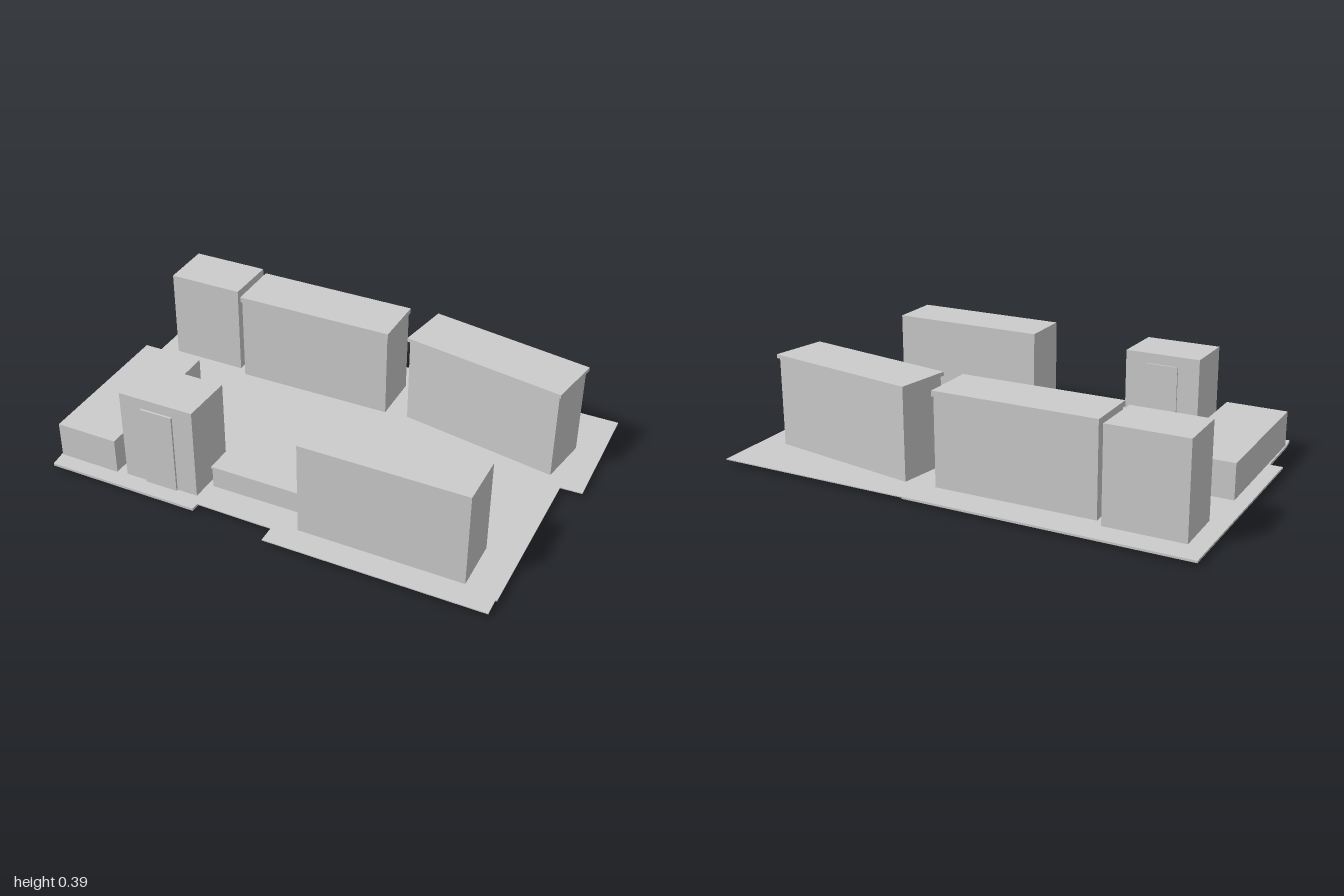
import * as THREE from 'three';

const material = new THREE.MeshStandardMaterial({ color: 0xcccccc, flatShading: true });

// Vertical prism over a ground outline given as [x, z] corners
function prism(name, outline, y0, y1) {
  const shape = new THREE.Shape(outline.map(([x, z]) => new THREE.Vector2(x, -z)));
  const geometry = new THREE.ExtrudeGeometry(shape, { depth: y1 - y0, bevelEnabled: false });
  geometry.rotateX(-Math.PI / 2);
  geometry.translate(0, y0, 0);
  const mesh = new THREE.Mesh(geometry, material);
  mesh.name = name;
  return mesh;
}

// Shrink an outline towards its centre by a fixed distance per corner
function inset(outline, d) {
  const cx = outline.reduce((s, p) => s + p[0], 0) / outline.length;
  const cz = outline.reduce((s, p) => s + p[1], 0) / outline.length;
  return outline.map(([x, z]) => [x - d * Math.sign(x - cx), z - d * Math.sign(z - cz)]);
}

export function createModel() {
  const group = new THREE.Group();
  group.name = 'cityBlock';
  const base = 0.022;

  // Thin site plate with stepped edges
  group.add(prism('sitePlate', [
    [-1, -0.375], [0.83, -0.765], [0.935, -0.295], [0.855, -0.275], [0.99, 0.365],
    [0.985, 0.37], [1, 0.435], [0.195, 0.61], [0.18, 0.545], [-0.11, 0.605],
    [-0.105, 0.635], [-0.69, 0.76], [-0.71, 0.7], [-0.76, 0.485], [-0.81, 0.495],
  ], 0.018, base));

  // Thicker slabs beneath the western half
  group.add(prism('northSlab', [[-1, -0.375], [0.07, -0.603], [0.27, 0.25], [-0.81, 0.495]], 0.014, 0.018));
  group.add(prism('southSlab', [
    [-0.76, 0.485], [-0.17, 0.35], [-0.11, 0.605], [-0.105, 0.635], [-0.69, 0.76], [-0.71, 0.7],
  ], 0.012, 0.018));

  // Sunken foundation and the small pavilion
  group.add(prism('foundation', [[0.55, -0.2], [0.78, -0.25], [0.84, 0.045], [0.615, 0.1]], 0.005, 0.018));
  group.add(prism('pavilion', [[0.415, -0.145], [0.555, -0.18], [0.59, 0], [0.455, 0.03]], 0, 0.06));

  // Plain blocks: name, outline, height
  const blocks = [
    ['northWestTower', [[-0.91, -0.292], [-0.612, -0.356], [-0.57, -0.152], [-0.863, -0.09]], 0.382],
    ['lowWestHall', [[-0.837, 0.11], [-0.595, 0.06], [-0.467, 0.65], [-0.705, 0.7]], 0.16],
    ['southWestTower', [[-0.47, 0.435], [-0.18, 0.372], [-0.143, 0.572], [-0.43, 0.635]], 0.38],
    ['southEastBlock', [[0.217, 0.3], [0.824, 0.17], [0.866, 0.365], [0.26, 0.495]], 0.385],
  ];
  for (const [name, outline, height] of blocks) group.add(prism(name, outline, base, height));

  // Blocks with a slightly overhanging roof: name, outline, body top, roof top, overhang
  const roofed = [
    ['northMiddleBlock', [[-0.58, -0.335], [0.042, -0.47], [0.085, -0.26], [-0.533, -0.125]], 0.362, 0.383, 0.005],
    ['northEastBlock', [[0.147, -0.505], [0.79, -0.528], [0.798, -0.308], [0.157, -0.285]], 0.368, 0.383, 0.008],
    ['lowSouthHall', [[-0.17, 0.33], [0.185, 0.254], [0.22, 0.42], [-0.137, 0.497]], 0.102, 0.11, 0.003],
  ];
  for (const [name, outline, bodyTop, roofTop, overhang] of roofed) {
    group.add(prism(name, inset(outline, overhang), base, bodyTop));
    group.add(prism(name + 'Roof', outline, bodyTop, roofTop));
  }

  // Shallow facade panels on the south-west tower
  group.add(prism('frontFacadePanel', [[-0.347, 0.6], [-0.225, 0.574], [-0.22, 0.597], [-0.343, 0.624]], base, 0.34));
  group.add(prism('backFacadePanel', [[-0.388, 0.411], [-0.265, 0.384], [-0.26, 0.41], [-0.383, 0.437]], base, 0.34));

  return group;
}
